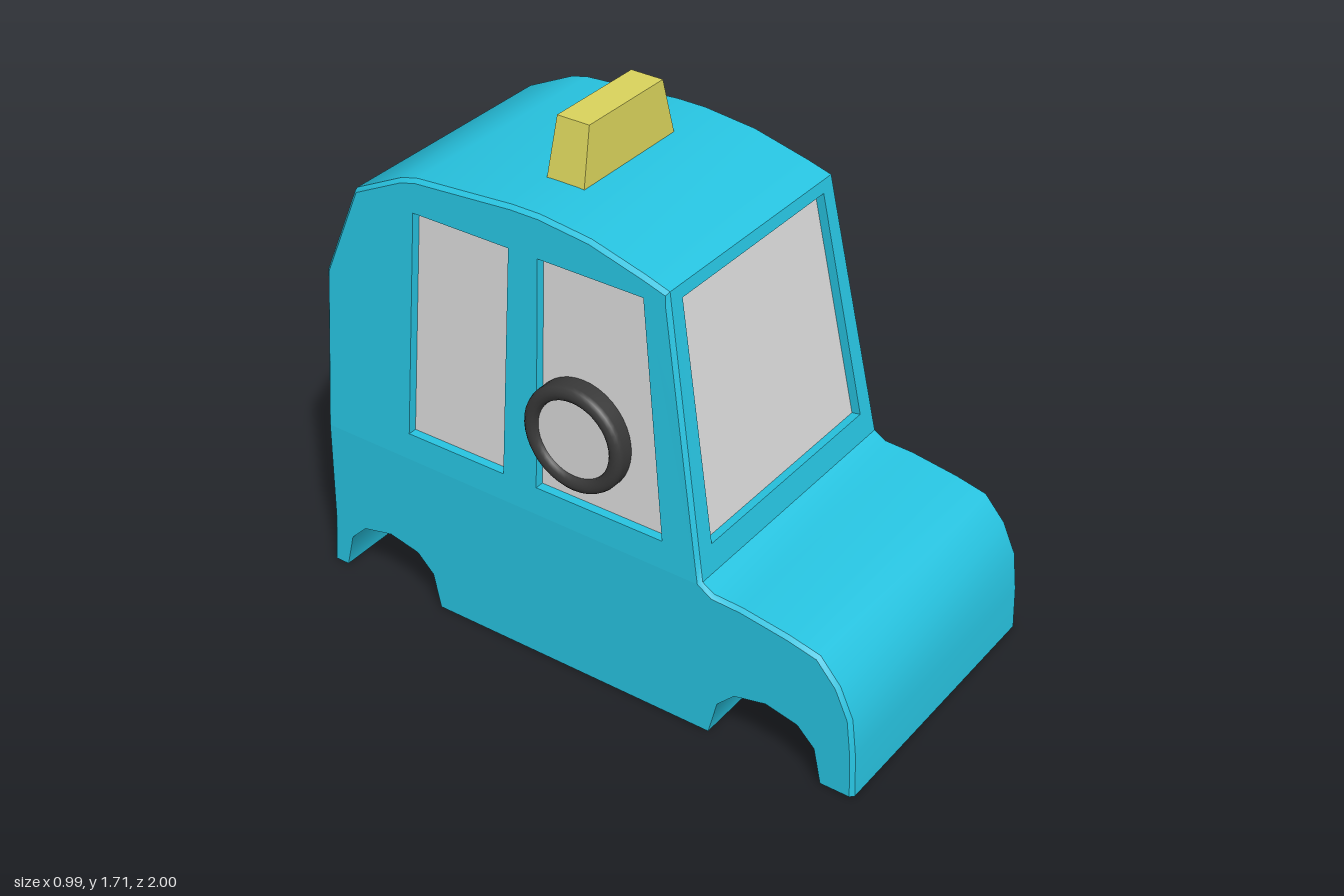
import * as THREE from 'three';
import { toCreasedNormals } from 'three/addons/utils/BufferGeometryUtils.js';

const BEVEL = 0.012, RECESS = 0.03, BELT = 0.54;

// Half width of the body and of the front and rear glass at a height
const halfWidth = (y) => 0.49 - 0.07 * Math.max(0, (y - BELT) / 0.99);
const glassHalf = (y) => 0.41 - 0.045 * (y - 0.63) / 0.76;

// Side outline as [z, y], front bumper over the roof to the rear bumper
const outline = [
  [1, 0], [0.995, 0.15], [0.98, 0.28], [0.935, 0.38], [0.865, 0.46], [0.76, 0.485], [0.6, 0.51], [0.5, 0.515],
  [0.46, BELT], [0.444, 0.63], [0.307, 1.39], [0.3, 1.43],
  [0.22, 1.455], [0.03, 1.505], [-0.15, 1.525], [-0.25, 1.525], [-0.6, 1.5], [-0.66, 1.485],
  [-0.835, 1.4], [-0.843, 1.388], [-0.96, 1.09], [-0.972, 0.63], [-0.975, BELT], [-0.983, 0.18], [-1, 0],
];
const FRONT_BELT = 8, REAR_BELT = 22;
const glazing = [
  { name: 'windscreen', from: 9, to: 10, inward: -RECESS },
  { name: 'rearWindow', from: 19, to: 21, inward: RECESS },
];

// Underside with the wheel arches, rear to front
const arch = (z) => [
  [z - 0.2, 0], [z - 0.17, 0.12], [z - 0.11, 0.18], [z, 0.205], [z + 0.11, 0.18], [z + 0.17, 0.12], [z + 0.195, 0],
];
const underside = [...arch(-0.737), ...arch(0.693)];

// Side windows as [z, y], clockwise seen from the left
const sideWindows = [
  [[0.22, 1.39], [-0.15, 1.39], [-0.14, 0.63], [0.32, 0.63]],
  [[-0.255, 1.39], [-0.61, 1.39], [-0.635, 0.63], [-0.265, 0.63]],
];

// Outline moved inwards for the bevelled edge
const inset = outline.map(([z, y], i) => {
  const a = outline[Math.max(0, i - 1)], b = outline[Math.min(outline.length - 1, i + 1)];
  const dz = b[0] - a[0], dy = b[1] - a[1], len = Math.hypot(dz, dy);
  return [z - BEVEL * dy / len, y === 0 ? 0 : y + BEVEL * dz / len];
});

const at = (x, [z, y]) => [x, y, z];
const outer = (p) => at(halfWidth(p[1]), p);
const inner = (p) => at(halfWidth(p[1]) - RECESS, p);
const quad = (list, a, b, c, d) => list.push(a, b, c, a, c, d);

// Adds a left-hand quad and its mirror image
function pair(list, a, b, c, d) {
  quad(list, a, b, c, d);
  const m = ([x, y, z]) => [-x, y, z];
  quad(list, m(d), m(c), m(b), m(a));
}

// Band across the body between two outline points
function band(list, p, q, wp, wq) {
  quad(list, at(-wp, p), at(wp, p), at(wq, q), at(-wq, q));
}

// Flat side panel with holes, on both sides
function sidePanel(list, contour, holes) {
  const vec = (pts) => pts.map(([z, y]) => new THREE.Vector2(z, y));
  const points = [contour, ...holes].flat();
  for (const face of THREE.ShapeUtils.triangulateShape(vec(contour), holes.map(vec))) {
    let [a, b, c] = face.map((i) => points[i]);
    const facing = (b[1] - a[1]) * (c[0] - a[0]) - (b[0] - a[0]) * (c[1] - a[1]);
    if (facing < 0) [b, c] = [c, b];
    const left = [a, b, c].map(outer);
    const right = [a, c, b].map(outer).map(([x, y, z]) => [-x, y, z]);
    list.push(...left, ...right);
  }
}

export function createModel() {
  const group = new THREE.Group();
  const material = (name, color) => {
    const m = new THREE.MeshStandardMaterial({ color });
    m.name = name;
    return m;
  };
  const paint = material('turquoise paint', 0x27c3e0);
  const glass = material('pale grey glass', 0xd8d8d8);
  const rubber = material('dark rubber', 0x383838);
  const yellow = material('yellow sign', 0xd8d25b);

  const add = (name, geometry, mat, parent = group) => {
    const mesh = new THREE.Mesh(geometry, mat);
    mesh.name = name;
    parent.add(mesh);
    return mesh;
  };
  const surface = (name, list, mat, crease = 0.78) => {
    const g = new THREE.BufferGeometry();
    g.setAttribute('position', new THREE.Float32BufferAttribute(list.flat(), 3));
    return add(name, toCreasedNormals(g, crease), mat);
  };

  // Bonnet, roof, tail and bevelled edges, leaving openings for glass
  const shell = [], edges = [];
  const skinHalf = (p) => halfWidth(p[1]) - BEVEL;
  for (let i = 0; i < outline.length - 1; i++) {
    const p = outline[i], q = outline[i + 1], wp = skinHalf(p), wq = skinHalf(q);
    if (glazing.some((w) => i >= w.from && i < w.to)) {
      pair(shell, at(glassHalf(p[1]), p), at(wp, p), at(wq, q), at(glassHalf(q[1]), q));
    } else band(shell, p, q, wp, wq);
    pair(edges, at(wp, p), outer(inset[i]), outer(inset[i + 1]), at(wq, q));
  }
  surface('bodyShell', shell, paint);
  surface('bevelledEdges', edges, paint, 0.6);

  // Floor and wheel arches
  const floor = [], loop = [outline.at(-1), ...underside, outline[0]];
  for (let i = 0; i < loop.length - 1; i++) band(floor, loop[i], loop[i + 1], 0.49, 0.49);
  surface('floorAndArches', floor, paint, 0.85);

  // Side panels below and above the belt line
  const lower = [], upper = [];
  sidePanel(lower, [...inset.slice(0, FRONT_BELT + 1), ...inset.slice(REAR_BELT), ...underside], []);
  sidePanel(upper, inset.slice(FRONT_BELT, REAR_BELT + 1), sideWindows);
  surface('lowerSides', lower, paint);
  surface('cabinSides', upper, paint);

  // Windscreen and rear window, set into their frames
  const frames = [];
  for (const { name, from, to, inward } of glazing) {
    const pane = [];
    const deep = ([z, y]) => [z + inward, y - 0.005];
    const g = (p) => glassHalf(p[1]);
    for (let i = from; i < to; i++) {
      const p = outline[i], q = outline[i + 1];
      band(pane, deep(p), deep(q), g(p), g(q));
      pair(frames, at(g(p), p), at(g(q), q), at(g(q), deep(q)), at(g(p), deep(p)));
    }
    const s = outline[from], e = outline[to];
    band(frames, s, deep(s), g(s), g(s));
    band(frames, deep(e), e, g(e), g(e));
    surface(name, pane, glass);
  }

  // Side windows
  const sidePanes = [];
  for (const w of sideWindows) {
    const [a, b, c, d] = w.map(inner);
    pair(sidePanes, d, c, b, a);
    w.forEach((p, i) => {
      const q = w[(i + 1) % w.length];
      pair(frames, outer(q), outer(p), inner(p), inner(q));
    });
  }
  surface('sideWindows', sidePanes, glass);
  surface('windowFrames', frames, paint, 0.3);

  // One wheel on each side
  const tyreProfile = [
    [0.18, 0.4], [0.18, 0.472], [0.176, 0.484], [0.167, 0.492], [0.155, 0.495], [0.142, 0.492], [0.133, 0.484], [0.13, 0.465],
  ].map(([r, x]) => new THREE.Vector2(r, x));
  for (const side of [1, -1]) {
    const wheel = new THREE.Group();
    wheel.name = side > 0 ? 'leftWheel' : 'rightWheel';
    add('tyre', new THREE.LatheGeometry(tyreProfile, 40), rubber, wheel);
    const hub = add('hub', new THREE.CircleGeometry(0.132, 40), glass, wheel);
    hub.rotation.x = -Math.PI / 2;
    hub.position.y = 0.474;
    wheel.rotation.z = -side * Math.PI / 2;
    wheel.position.y = 0.855;
    group.add(wheel);
  }

  // Tapered roof sign
  const sign = new THREE.BoxGeometry(0.45, 0.195, 0.135);
  const pos = sign.attributes.position;
  for (let i = 0; i < pos.count; i++) {
    if (pos.getY(i) > 0) pos.setXYZ(i, pos.getX(i) * 0.8, pos.getY(i), pos.getZ(i) * 0.85);
  }
  sign.computeVertexNormals();
  add('roofSign', sign, yellow).position.set(0, 1.6125, -0.203);

  return group;
}
